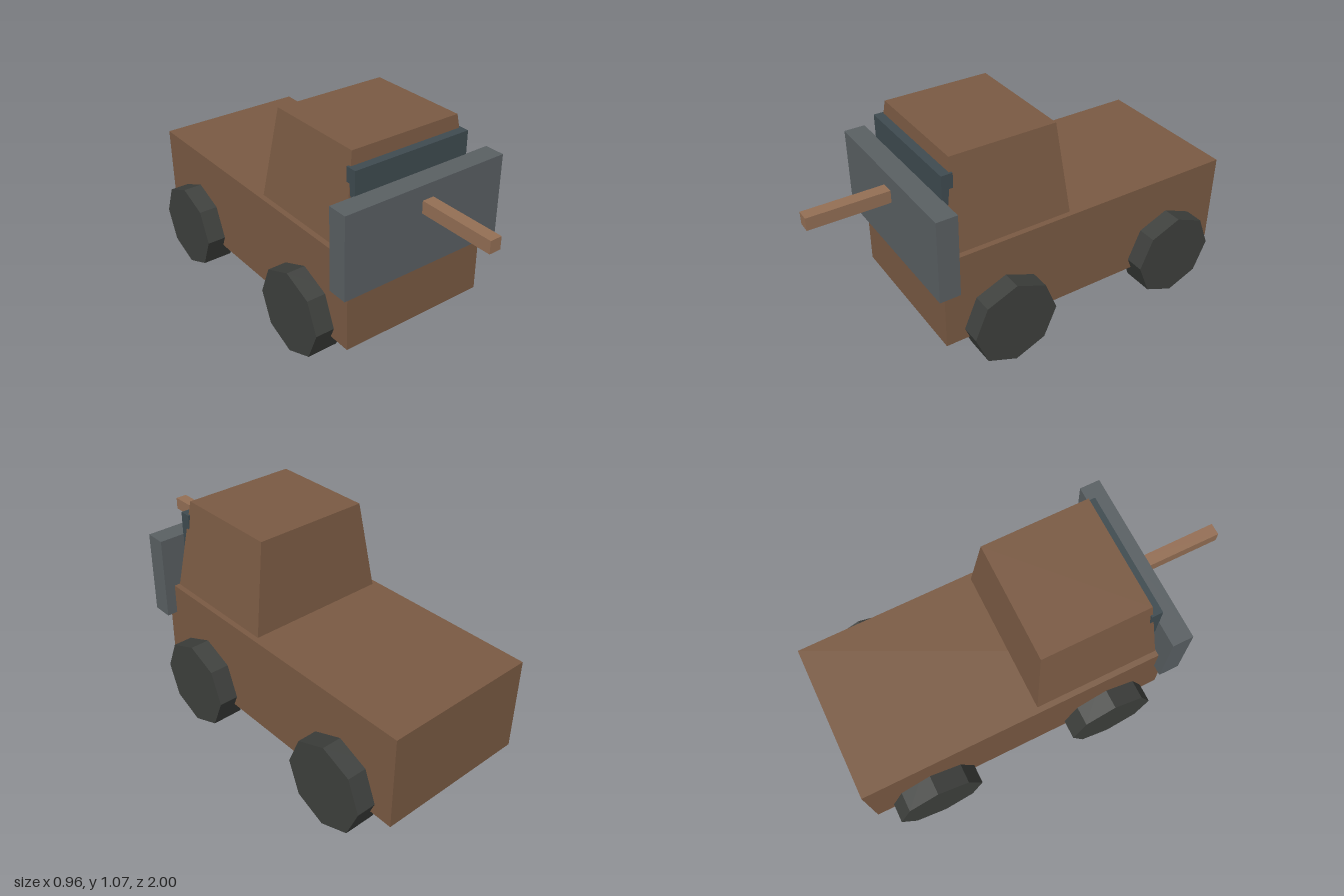
import * as THREE from 'three';

const paint = (color) => new THREE.MeshStandardMaterial({ color, flatShading: true });

// Box given by its minimum and maximum on each axis
function block(name, [x0, x1], [y0, y1], [z0, z1], material) {
  const mesh = new THREE.Mesh(new THREE.BoxGeometry(x1 - x0, y1 - y0, z1 - z0), material);
  mesh.position.set((x0 + x1) / 2, (y0 + y1) / 2, (z0 + z1) / 2);
  mesh.name = name;
  return mesh;
}

export function createModel() {
  const brown = paint(0x7a5a43);
  const lightBrown = paint(0x946f55);
  const steel = paint(0x5a6063);
  const glass = paint(0x3f4b50);
  const rubber = paint(0x3e403d);

  const truck = new THREE.Group();
  truck.name = 'truck';

  // Body, windshield, front shield and ram pole
  truck.add(
    block('body', [-0.387, 0.387], [0.16, 0.625], [-1, 0.56], brown),
    block('windshield', [-0.312, 0.312], [0.77, 1.0], [0.455, 0.51], glass),
    block('frontShield', [-0.44, 0.44], [0.472, 0.885], [0.508, 0.61], steel),
    block('ramPole', [-0.03, 0.03], [0.75, 0.812], [0.56, 1], lightBrown)
  );

  // Cab: a box whose top is drawn inwards
  const cab = block('cab', [-0.36, 0.36], [0.62, 1.066], [-0.115, 0.505], brown);
  const corners = cab.geometry.attributes.position;
  for (let i = 0; i < corners.count; i++) {
    if (corners.getY(i) > 0) {
      corners.setX(i, corners.getX(i) * 0.807);
      corners.setZ(i, corners.getZ(i) * 0.856);
    }
  }
  cab.geometry.computeVertexNormals();
  truck.add(cab);

  // Four eight-sided wheels with a corner at the top
  const wheelGeometry = new THREE.CylinderGeometry(0.217, 0.217, 0.155, 8).rotateZ(Math.PI / 2);
  for (const [side, sign] of [['left', 1], ['right', -1]]) {
    for (const [end, z] of [['Front', 0.248], ['Rear', -0.69]]) {
      const wheel = new THREE.Mesh(wheelGeometry, rubber);
      wheel.position.set(sign * 0.405, 0.217, z);
      wheel.name = `${side}${end}Wheel`;
      truck.add(wheel);
    }
  }

  return truck;
}
